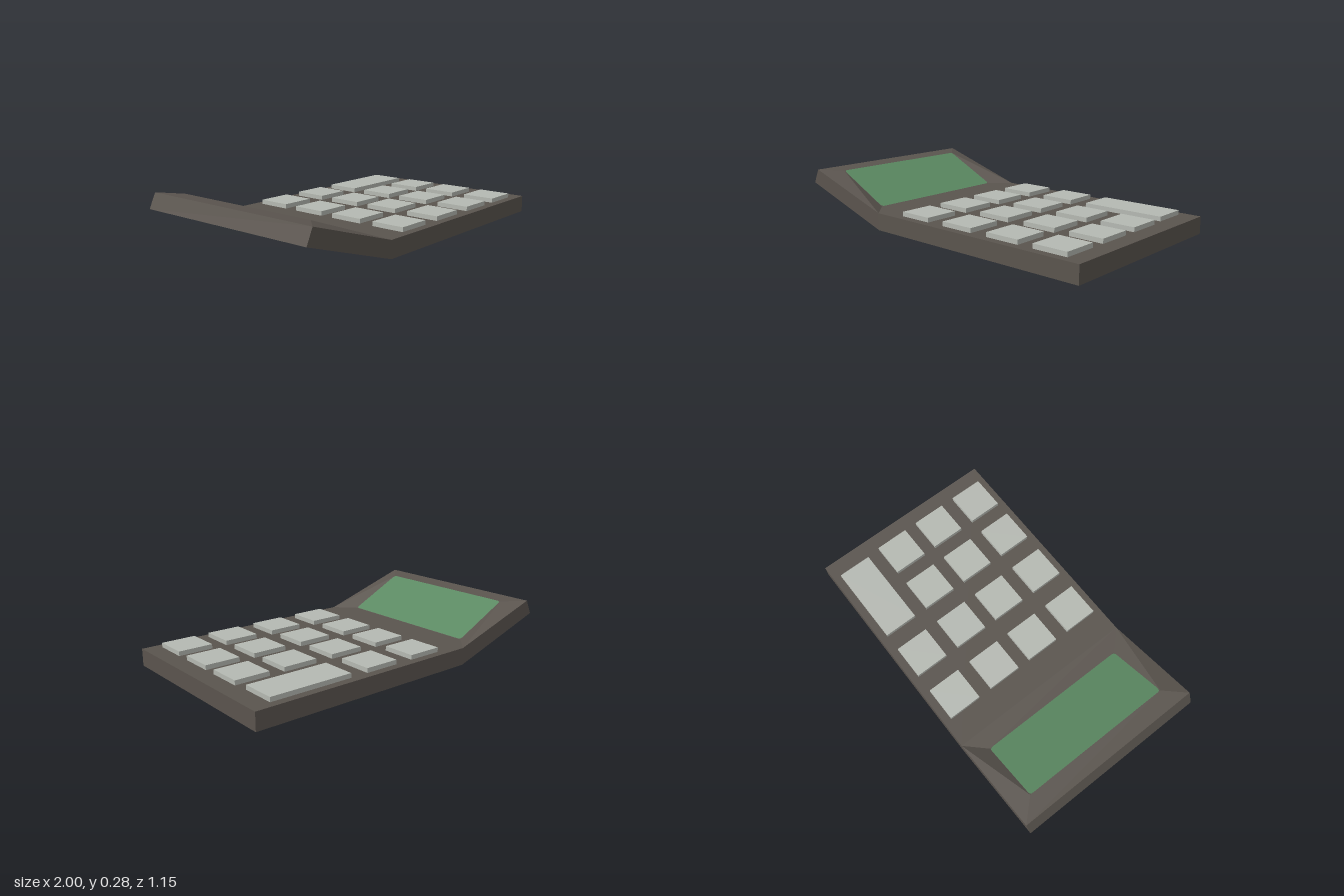
import * as THREE from 'three';

const HALF = 0.575; // half depth of the case

// Flat-shaded geometry from counter-clockwise quads of [x, y, z] corners
function quadGeometry(quads) {
  const pos = [];
  for (const [a, b, c, d] of quads) pos.push(...a, ...b, ...c, ...a, ...c, ...d);
  const g = new THREE.BufferGeometry();
  g.setAttribute('position', new THREE.Float32BufferAttribute(pos, 3));
  g.computeVertexNormals();
  return g;
}

export function createModel() {
  const bodyMat = new THREE.MeshStandardMaterial({ color: 0x5a544e });
  bodyMat.name = 'caseGrey';
  const screenMat = new THREE.MeshStandardMaterial({ color: 0x5b8962 });
  screenMat.name = 'screenGreen';
  const keyMat = new THREE.MeshStandardMaterial({ color: 0xb5b9b2 });
  keyMat.name = 'keyGrey';

  const model = new THREE.Group();
  model.name = 'calculator';
  const add = (name, geometry, material) => {
    const mesh = new THREE.Mesh(geometry, material);
    mesh.name = name;
    model.add(mesh);
    return mesh;
  };

  // Case: side profile with a raised head, and the rim of the display bed
  const profile = [[-1, 0.195], [-0.39, 0], [1, 0], [1, 0.1], [-0.39, 0.1], [-0.96, 0.28]];
  const L = profile.map(([x, y]) => [x, y, HALF]);
  const R = profile.map(([x, y]) => [x, y, -HALF]);
  const bedX = [-0.5, -0.85], bedY = [0.1, 0.27], bedZ = 0.46;
  const bl = bedX.map((x, i) => [x, bedY[i], bedZ]);
  const br = bedX.map((x, i) => [x, bedY[i], -bedZ]);

  const quads = [
    [L[0], L[1], L[4], L[5]], [L[1], L[2], L[3], L[4]], // sides
    [R[5], R[4], R[1], R[0]], [R[4], R[3], R[2], R[1]],
    [L[4], R[4], br[0], bl[0]], // bevels around the display
    [R[5], L[5], bl[1], br[1]],
    [L[4], bl[0], bl[1], L[5]],
    [R[4], R[5], br[1], br[0]],
    [bl[0], br[0], br[1], bl[1]], // display bed
  ];
  for (let i = 0; i < 6; i++) {
    if (i === 4) continue; // the head's top is formed by the bevels
    const j = (i + 1) % 6;
    quads.push([L[i], R[i], R[j], L[j]]);
  }
  add('case', quadGeometry(quads), bodyMat);

  // Screen: thin rounded panel laid on the sloping bed
  const w = 0.35, d = bedZ, r = 0.02;
  const s = new THREE.Shape();
  s.moveTo(r, -d);
  s.lineTo(w - r, -d);
  s.quadraticCurveTo(w, -d, w, -d + r);
  s.lineTo(w, d - r);
  s.quadraticCurveTo(w, d, w - r, d);
  s.lineTo(r, d);
  s.quadraticCurveTo(0, d, 0, d - r);
  s.lineTo(0, -d + r);
  s.quadraticCurveTo(0, -d, r, -d);
  const screen = new THREE.ShapeGeometry(s, 4);
  const p = screen.attributes.position;
  for (let i = 0; i < p.count; i++) {
    const u = p.getX(i), v = p.getY(i);
    const y = THREE.MathUtils.lerp(bedY[1], bedY[0], u / w);
    p.setXYZ(i, bedX[1] + u, y + 0.002, -v);
  }
  screen.computeVertexNormals();
  add('screen', screen, screenMat);

  // Keys: four by four, with one wide key in the back row
  const columns = [-0.13, 0.187, 0.5, 0.797];
  const rows = [-0.428, -0.143, 0.139, 0.427];
  const key = (name, x, z, width) =>
    add(name, new THREE.BoxGeometry(width, 0.045, 0.202), keyMat).position.set(x, 0.1035, z);
  rows.forEach((z, ri) => columns.forEach((x, ci) => {
    if (ri === 0 && ci >= 2) return;
    key(`key${ri + 1}_${ci + 1}`, x, z, 0.205);
  }));
  key('wideKey', 0.643, rows[0], 0.49);

  return model;
}
